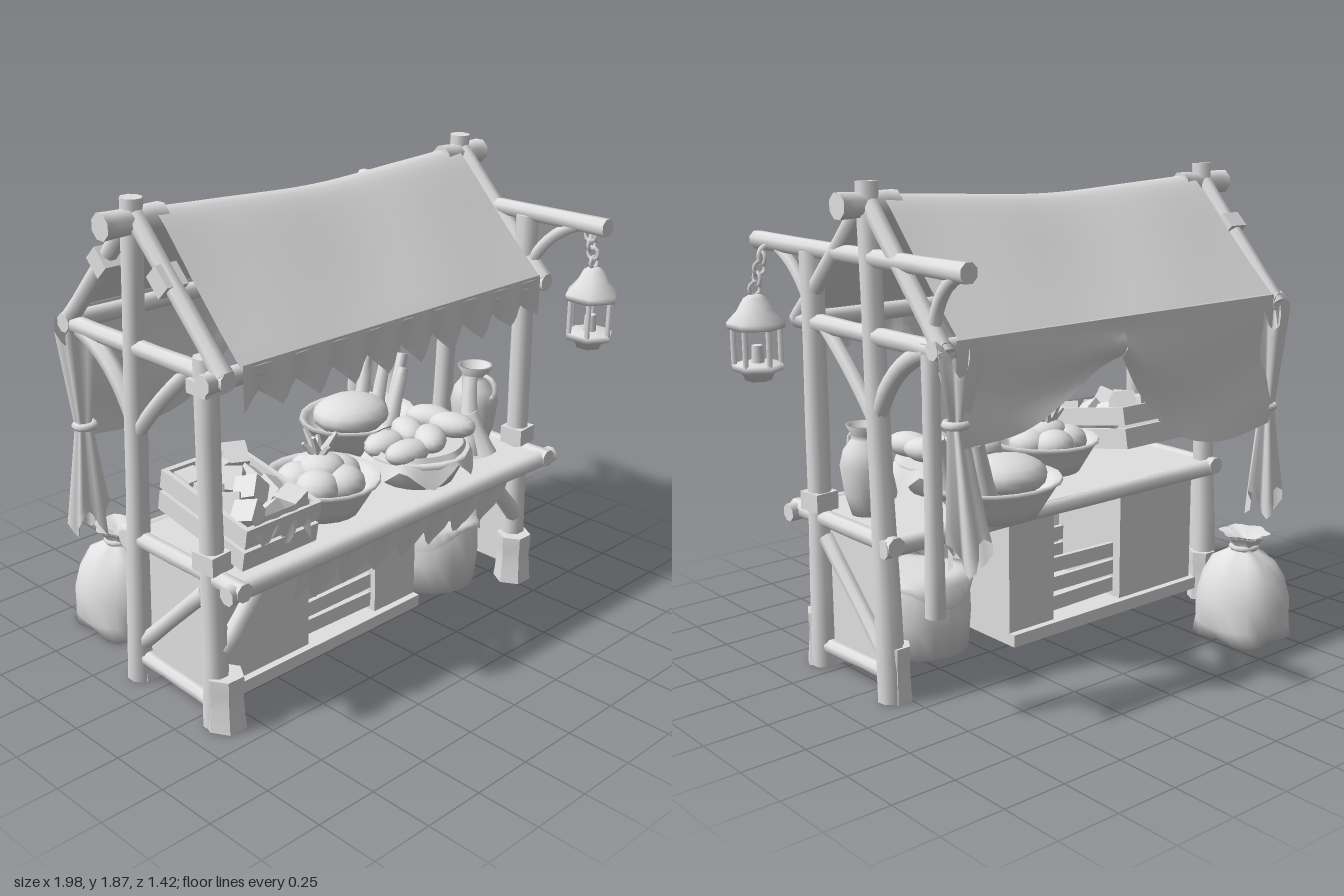
import * as THREE from 'three';
import { toCreasedNormals } from 'three/addons/utils/BufferGeometryUtils.js';

const V = (x, y, z) => new THREE.Vector3(x, y, z);

export function createModel() {
  const root = new THREE.Group();
  const mat = new THREE.MeshStandardMaterial({ color: 0xe0e0e0, side: THREE.DoubleSide });
  mat.name = 'pale grey';

  const add = (name, geo, pos = [0, 0, 0], rot = [0, 0, 0], parent = root) => {
    const m = new THREE.Mesh(geo, mat);
    m.name = name;
    m.position.set(...pos);
    m.rotation.set(...rot);
    parent.add(m);
    return m;
  };
  const box = (name, size, pos, rot, parent) => add(name, new THREE.BoxGeometry(...size), pos, rot, parent);
  const lathe = (name, pts, pos, seg = 20, parent = root) =>
    add(name, new THREE.LatheGeometry(pts.map(p => new THREE.Vector2(...p)), seg), pos, [0, 0, 0], parent);

  // Rough-hewn timber from a to b, slightly swollen at its ends
  const beam = (name, a, b, r, r2 = r, seg = 8) => {
    const A = V(...a), B = V(...b), len = A.distanceTo(B);
    const geo = new THREE.CylinderGeometry(r2, r, len, seg, 5);
    geo.rotateY(Math.PI / seg);
    const p = geo.attributes.position;
    for (let i = 0; i < p.count; i++) {
      const t = p.getY(i) / len * 2, k = 0.96 + 0.1 * t * t + 0.03 * Math.sin(t * 7 + len * 20);
      p.setX(i, p.getX(i) * k);
      p.setZ(i, p.getZ(i) * k);
    }
    const m = add(name, toCreasedNormals(geo, 0.9), A.clone().add(B).multiplyScalar(0.5).toArray());
    m.quaternion.setFromUnitVectors(V(0, 1, 0), B.sub(A).normalize());
    return m;
  };
  // Curved brace through three points
  const brace = (name, a, mid, b, r) => add(name, new THREE.TubeGeometry(
    new THREE.QuadraticBezierCurve3(V(...a), V(...mid), V(...b)), 8, r, 7));
  // Cloth sheet: f(u, v) gives a point
  const cloth = (name, nu, nv, f) => {
    const geo = new THREE.PlaneGeometry(1, 1, nu, nv), p = geo.attributes.position;
    for (let i = 0; i < p.count; i++) p.setXYZ(i, ...f(p.getX(i) + 0.5, 0.5 - p.getY(i)));
    geo.computeVertexNormals();
    return add(name, geo);
  };
  const lerp = THREE.MathUtils.lerp;
  const zig = x => Math.abs(((x % 1) + 1) % 1 * 2 - 1);

  // Gable frames, one on each side
  for (const [side, x] of [['right', -0.865], ['left', 0.802]]) {
    const s = Math.sign(x);
    beam(side + 'FrontPost', [x, 0, 0.33], [x, s > 0 ? 1.6 : 1.4, 0.325], 0.05, 0.043);
    beam(side + 'RidgePost', [x, 0, -0.12], [x, 1.87, -0.04], 0.052, 0.038);
    for (const [z, d] of [[0.355, 0.14], [-0.12, 0.11]])
      beam(side + 'PostFoot', [x - s * 0.02, 0, z], [x - s * 0.02, 0.21, z], d * 0.54, d * 0.5, 6);
    beam(side + 'EaveTie', [x, 1.34, 0.44], [x, 1.34, -0.48], 0.034);
    beam(side + 'FrontRafter', [x, 1.83, -0.05], [x, 1.35, 0.42], 0.034);
    beam(side + 'BackRafter', [x, 1.83, -0.02], [x, 1.33, -0.47], 0.034);
    brace(side + 'FrontArchBrace', [x, 1.0, -0.08], [x, 1.18, 0.06], [x, 1.33, 0.25], 0.028);
    brace(side + 'BackArchBrace', [x, 1.06, -0.08], [x, 1.27, -0.18], [x, 1.33, -0.38], 0.034);
    // Lower side wall with a diagonal
    beam(side + 'TableRail', [x, 0.595, 0.5], [x, 0.595, -0.17], 0.034);
    beam(side + 'LowerRail', [x, 0.08, 0.34], [x, 0.1, -0.14], 0.03);
    beam(side + 'SideDiagonal', [x, 0.52, 0.29], [x, 0.15, -0.1], 0.03);
    box(side + 'SidePanel', [0.02, 0.5, 0.43], [x - s * 0.025, 0.31, 0.1]);
    box(side + 'PostCollar', [0.1, 0.07, 0.1], [x, 0.66, 0.33], [0, 0.1, 0]);
    beam(side + 'CounterBrace', [x - s * 0.02, 0.3, 0.35], [x - s * 0.24, 0.56, 0.35], 0.035);
    // Ridge beam end standing clear of the canopy
    beam(side + 'RidgeEnd', [x - s * 0.12, 1.79, -0.035], [s > 0 ? 0.92 : -1, 1.79, -0.035], 0.047);
  }
  box('postBand', [0.1, 0.05, 0.1], [-0.865, 1.3, 0.33]);
  for (const z of [0.14, -0.2]) box('rafterBand', [0.09, 0.07, 0.09], [-0.865, 1.62, z], [0.8, 0, 0]);

  // Long timbers
  brace('ridgeBeam', [-0.8, 1.785, -0.035], [-0.03, 1.72, -0.035], [0.75, 1.785, -0.035], 0.036);
  beam('frontEaveBeam', [-0.94, 1.335, 0.395], [0.8, 1.335, 0.395], 0.034);
  beam('backEaveBeam', [-0.9, 1.345, -0.445], [0.84, 1.345, -0.445], 0.034);
  beam('lanternBeam', [0.802, 1.61, 0.71], [0.802, 1.61, -0.6], 0.034);
  brace('frontBeamBrace', [0.8, 1.6, 0.58], [0.8, 1.54, 0.42], [0.8, 1.38, 0.34], 0.024);
  brace('backBeamBrace', [0.8, 1.6, -0.55], [0.8, 1.54, -0.42], [0.8, 1.36, -0.4], 0.024);
  beam('hangingPost', [0.8, 0.4, -0.39], [0.8, 1.36, -0.385], 0.036, 0.032);

  // Canopy draped over the sagging ridge
  cloth('roofCanopy', 24, 36, (u, v) => {
    const z = lerp(-0.49, 0.435, v), d = z + 0.035, apex = 1.88 - 0.042 * Math.sin(Math.PI * u);
    const run = Math.sqrt(d * d + 0.002) / 0.462;
    const sag = Math.sin(Math.PI * Math.min(1, run)) * 0.008 * (1 + Math.cos(u * 12.6));
    return [lerp(-0.79, 0.75, u) + (u - 0.5) * 0.03 * run, apex - (apex - 1.375) * run - sag, z];
  });
  // Ragged valance
  cloth('frontValance', 72, 5, (u, v) => {
    const low = 1.265 - 0.085 * zig(u * 9) * (0.6 + 0.4 * Math.sin(u * Math.PI));
    return [lerp(-0.8, 0.76, u), lerp(1.378, low, v), 0.436 - 0.012 * v + 0.014 * v * Math.cos(u * 56)];
  });

  // Back curtains, tied off toward the corners
  const curtain = (name, pts) => {
    const edge = new THREE.CatmullRomCurve3(pts.map(p => V(p[0], p[1], 0)));
    cloth(name, 20, 8, (u, v) => {
      const e = edge.getPoint(u);
      return [e.x, lerp(1.375, e.y, v), -0.488 + 0.02 * Math.sin(v * 7 + u * 5) * v];
    });
  };
  curtain('rightCurtain', [[0, 1.22], [-0.12, 1.04], [-0.28, 0.89], [-0.5, 0.83], [-0.82, 0.86]]);
  curtain('leftCurtain', [[0, 1.23], [0.12, 1.19], [0.3, 1.1], [0.5, 1.03], [0.77, 1.01]]);

  // Gathered curtain tails
  const tail = (name, x, z, top, bottom, lean) => cloth(name, 24, 8, (u, v) => {
    const a = u * Math.PI * 2, r = (0.028 + 0.045 * v) * (1 + 0.3 * Math.cos(a * 5));
    return [x + r * Math.cos(a), lerp(top, bottom + 0.06 * Math.cos(a * 3) * v, v),
      z + lean * v + r * 0.8 * Math.sin(a)];
  });
  tail('leftCurtainTail', 0.76, -0.465, 1.1, 0.65, -0.06);
  tail('leftCurtainGather', 0.75, -0.465, 1.08, 1.32, -0.01);
  tail('rightCurtainTail', -0.82, -0.47, 0.93, 0.52, 0);
  tail('rightCurtainGather', -0.82, -0.47, 0.9, 1.3, 0);
  for (const [x, y] of [[0.76, 1.09], [-0.82, 0.92]])
    add('curtainTie', new THREE.TorusGeometry(0.035, 0.016, 6, 12), [x, y, -0.465], [Math.PI / 2, 0, 0]);

  // Counter
  box('counterTop', [1.7, 0.04, 0.6], [-0.03, 0.595, 0.16]);
  beam('counterFrontEdge', [-0.92, 0.588, 0.465], [0.86, 0.588, 0.465], 0.034);
  beam('counterBackEdge', [-0.9, 0.585, -0.135], [0.84, 0.585, -0.135], 0.033);
  cloth('counterCloth', 64, 4, (u, v) => {
    const low = 0.5 - 0.1 * zig(u * 7.5 + 0.2);
    return [lerp(-0.6, 0.56, u), lerp(0.585, low, v), 0.485 - 0.035 * v + 0.02 * v * Math.sin(u * 47)];
  });

  // Two closed cupboards under the counter with an open bay between them
  box('cabinetFloor', [1.05, 0.05, 0.44], [-0.295, 0.075, 0.09]);
  box('rightCupboard', [0.42, 0.48, 0.38], [-0.575, 0.33, 0.09]);
  box('leftCupboard', [0.23, 0.48, 0.38], [0.115, 0.33, 0.09]);
  // Slatted crate stored in the bay
  for (let i = 0; i < 3; i++) for (const z of [0.25, -0.06])
    box('storedCrateSlat', [0.35, 0.06, 0.02], [-0.18, 0.155 + i * 0.078, z], [0, 0, 0.02 * (i - 1)]);
  box('storedCrateBase', [0.35, 0.02, 0.3], [-0.18, 0.13, 0.095]);

  // Tub under the counter with a loose cover
  lathe('tub', [[0, 0.05], [0.19, 0.05], [0.2, 0.18], [0.195, 0.32], [0.15, 0.34], [0, 0.35]], [0.475, 0, 0.15], 18);
  cloth('tubCover', 32, 4, (u, v) => {
    const a = u * Math.PI * 2, r = 0.208 * Math.min(1, v * 1.4);
    const drop = Math.max(0, v - 0.7) * (0.22 + 0.14 * Math.sin(a * 3));
    return [0.475 + r * Math.cos(a), 0.357 - drop, 0.15 + r * Math.sin(a)];
  });

  // Tilted slatted crate with produce
  const crate = new THREE.Group();
  crate.name = 'produceCrate';
  crate.position.set(-0.645, 0.665, 0.2);
  crate.rotation.x = 0.18;
  root.add(crate);
  box('crateBase', [0.32, 0.02, 0.44], [0, 0.01, 0], [0, 0, 0], crate);
  for (const y of [0.05, 0.14]) for (const s of [-1, 1]) {
    box('crateSideSlat', [0.02, 0.075, 0.47], [s * 0.165, y, 0], [0, 0, 0], crate);
    box('crateEndSlat', [0.34, 0.075, 0.02], [0, y, s * 0.225], [0, 0, 0], crate);
  }
  for (let i = 0; i < 12; i++)
    box('crateProduce', [0.09, 0.09, 0.09], [(i % 3 - 1) * 0.1, 0.13 + (i * 7 % 5) * 0.012,
      (Math.floor(i / 3) - 1.5) * 0.105], [i, i * 1.7, i * 0.6], crate);
  cloth('crateCloth', 24, 4, (u, v) => [lerp(-0.78, -0.52, u),
    lerp(0.82, 0.77 - 0.1 * zig(u * 2.5 + 0.5), v), 0.452 + 0.01 * v * Math.sin(u * 20)]);

  // Bowls, fruit and bread
  const bowlProfile = [[0, 0], [0.14, 0], [0.175, 0.06], [0.21, 0.12], [0.225, 0.13], [0.22, 0.145],
    [0.195, 0.13], [0.15, 0.06], [0, 0.05]];
  lathe('fruitBowl', bowlProfile, [-0.235, 0.61, 0.22], 20);
  const ball = (name, x, y, z, sx, sy, sz, ry = 0) =>
    add(name, new THREE.SphereGeometry(1, 14, 10), [x, y, z], [0, ry, 0]).scale.set(sx, sy, sz);
  for (let i = 0; i < 5; i++) {
    const a = i * 1.2566;
    ball('fruit', -0.235 + 0.09 * Math.cos(a), 0.74, 0.22 + 0.09 * Math.sin(a), 0.085, 0.065, 0.085);
  }
  ball('topFruit', -0.235, 0.78, 0.22, 0.09, 0.06, 0.09);
  for (let i = 0; i < 7; i++) {
    const a = i * 0.898;
    beam('fruitLeaf', [-0.23, 0.81, 0.2], [-0.23 + 0.065 * Math.cos(a), 0.88 + 0.04 * (i % 2), 0.2 + 0.065 * Math.sin(a)], 0.022, 0.008, 4);
  }
  lathe('breadBasket', bowlProfile, [0.32, 0.61, -0.14], 20).scale.x = 1.18;
  for (const [i, z] of [-0.24, -0.18, -0.12, -0.06].entries()) {
    const x = 0.43 + 0.035 * (i % 3);
    beam('longLoaf', [x, 0.68, z], [x + 0.09, 0.95 - 0.03 * (i % 2), z * 1.15], 0.037, 0.024);
  }
  lathe('frontBasket', [[0, 0], [0.15, 0], [0.2, 0.1], [0.21, 0.13], [0, 0.12]], [0.25, 0.615, 0.26], 18);
  for (let i = 0; i < 6; i++)
    ball('loaf', 0.13 + (i % 3) * 0.13, 0.765 + 0.022 * (i % 3), 0.2 + Math.floor(i / 3) * 0.12, 0.1, 0.05, 0.065, i);
  ball('roundBread', 0.28, 0.76, -0.14, 0.17, 0.08, 0.15);
  cloth('basketCloth', 40, 4, (u, v) => {
    const a = u * Math.PI * 2, r = 0.18 + 0.04 * v;
    return [0.25 + r * 1.06 * Math.cos(a), 0.765 - v * (0.04 + 0.09 * zig(u * 6)), 0.26 + r * Math.sin(a)];
  });
  beam('leaningLoaf', [0.52, 0.63, 0.3], [0.61, 0.93, 0.22], 0.045, 0.03);
  beam('leaningLoaf', [0.58, 0.63, 0.34], [0.56, 0.8, 0.27], 0.05, 0.03);

  // Jug
  lathe('jug', [[0, 0], [0.06, 0], [0.085, 0.08], [0.1, 0.19], [0.085, 0.25], [0.055, 0.29], [0.055, 0.31],
    [0.075, 0.345], [0.06, 0.345], [0.04, 0.3], [0, 0.29]], [0.68, 0.615, 0.19]);
  add('jugHandle', new THREE.TorusGeometry(0.05, 0.012, 6, 12), [0.68, 0.87, 0.25], [0, Math.PI / 2, 0]);

  // Tied sack behind the stall
  const sack = lathe('sack', [[0, 0], [0.175, 0], [0.195, 0.06], [0.195, 0.16], [0.17, 0.25], [0.12, 0.32],
    [0.06, 0.355], [0.05, 0.375], [0.075, 0.41], [0.1, 0.43], [0.03, 0.4], [0, 0.4]], [-0.66, 0, -0.515], 24);
  const sp = sack.geometry.attributes.position;
  for (let i = 0; i < sp.count; i++) {
    const a = Math.atan2(sp.getZ(i), sp.getX(i)), y = sp.getY(i);
    const k = 1 + (y < 0.05 ? 0.18 * Math.cos(a * 4 + Math.PI) : y > 0.3 ? 0.1 * Math.cos(a * 6) : 0);
    sp.setX(i, sp.getX(i) * k * 0.93);
    sp.setZ(i, sp.getZ(i) * k);
  }
  sack.geometry.computeVertexNormals();
  add('sackTie', new THREE.TorusGeometry(0.05, 0.012, 6, 14), [-0.66, 0.37, -0.515], [Math.PI / 2, 0, 0]);

  // Hanging lantern
  const lantern = new THREE.Group();
  lantern.name = 'lantern';
  lantern.position.set(0.885, 1.09, 0.6);
  root.add(lantern);
  lathe('lanternBase', [[0, 0], [0.05, 0], [0.06, 0.025], [0.098, 0.04], [0.098, 0.065], [0, 0.07]], [0, 0, 0], 6, lantern);
  lathe('lanternRoof', [[0, 0.2], [0.108, 0.2], [0.112, 0.225], [0.07, 0.27], [0.045, 0.315], [0.02, 0.33], [0, 0.33]], [0, 0, 0], 6, lantern);
  for (let i = 0; i < 6; i++) {
    const a = i * Math.PI / 3;
    add('lanternBar', new THREE.CylinderGeometry(0.011, 0.011, 0.16, 5), [0.088 * Math.sin(a), 0.14, 0.088 * Math.cos(a)], [0, 0, 0], lantern);
  }
  add('candle', new THREE.CylinderGeometry(0.022, 0.026, 0.07, 8), [0, 0.1, 0], [0, 0, 0], lantern);
  for (let i = 0; i < 4; i++)
    add('chainLink', new THREE.TorusGeometry(0.024, 0.008, 5, 10), [-0.012 * i, 0.35 + i * 0.038, 0], [0, i % 2 * 1.57, 0], lantern);
  brace('lanternHook', [0.8, 1.6, 0.6], [0.88, 1.6, 0.6], [0.85, 1.53, 0.6], 0.011);
  return root;
}
